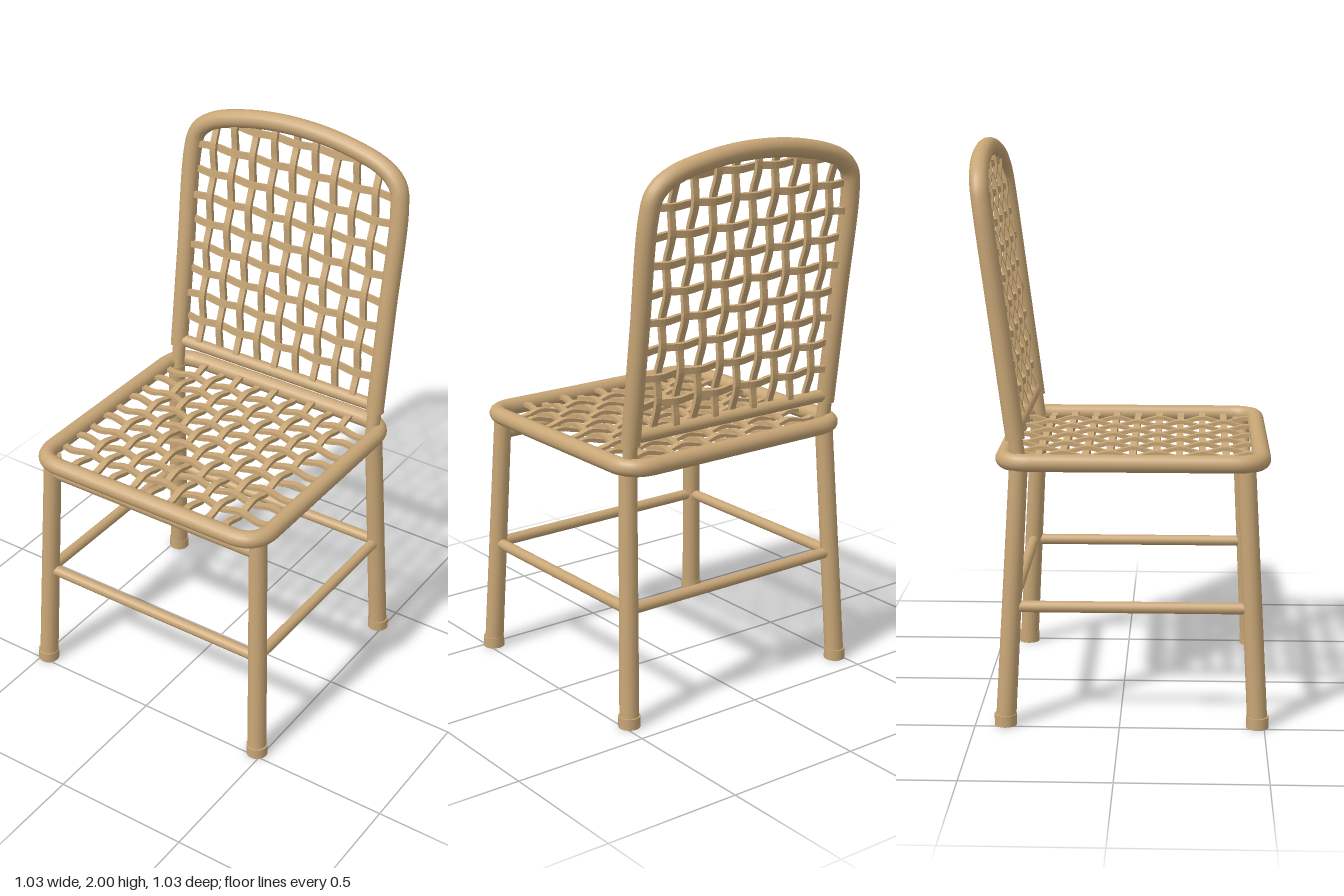
import * as THREE from 'three';
import { mergeGeometries } from 'three/addons/utils/BufferGeometryUtils.js';

const rattan = new THREE.MeshStandardMaterial({ color: 0xc8a676 });
rattan.name = 'rattan';

const V = (x, y, z) => new THREE.Vector3(x, y, z);

function add(parent, name, geometry) {
  const mesh = new THREE.Mesh(geometry, rattan);
  mesh.name = name;
  parent.add(mesh);
  return mesh;
}

// Round rod between two points
function rod(parent, name, a, b, rA, rB = rA) {
  const mesh = add(parent, name, new THREE.CylinderGeometry(rB, rA, a.distanceTo(b), 16));
  mesh.position.copy(a).add(b).multiplyScalar(0.5);
  mesh.quaternion.setFromUnitVectors(V(0, 1, 0), b.clone().sub(a).normalize());
  return mesh;
}

// Flat strand along +x, rippling in y around its crossings, with its width in z
function strand(from, to, first, spacing, sign) {
  const thick = 0.014, amp = 0.008, width = 0.024;
  const n = Math.ceil((to - from) / spacing * 6);
  const top = [], bottom = [];
  for (let i = 0; i <= n; i++) {
    const s = from + (to - from) * i / n;
    const h = sign * amp * Math.cos(Math.PI * (s - first) / spacing);
    top.push(new THREE.Vector2(s, h + thick / 2));
    bottom.push(new THREE.Vector2(s, h - thick / 2));
  }
  const shape = new THREE.Shape([...bottom, ...top.reverse()]);
  const geo = new THREE.ExtrudeGeometry(shape, { depth: width, bevelEnabled: false });
  return geo.translate(0, 0, -width / 2);
}

// Over-and-under lattice in the xy plane; the span functions give strand ends
function weave(parent, name, nx, x0, dx, ny, y0, dy, spanX, spanY) {
  const X = V(1, 0, 0), Y = V(0, 1, 0), Z = V(0, 0, 1);
  const across = [], along = [];
  for (let j = 0; j < ny; j++) {
    const y = y0 + j * dy, [a, b] = spanX(y);
    const m = new THREE.Matrix4().makeBasis(X, Z, Y.clone().negate()).setPosition(0, y, 0);
    across.push(strand(a, b, x0, dx, j % 2 ? -1 : 1).applyMatrix4(m));
  }
  for (let i = 0; i < nx; i++) {
    const x = x0 + i * dx, [a, b] = spanY(x);
    const m = new THREE.Matrix4().makeBasis(Y, Z, X).setPosition(x, 0, 0);
    along.push(strand(a, b, y0, dy, i % 2 ? 1 : -1).applyMatrix4(m));
  }
  add(parent, name + 'CrossStrands', mergeGeometries(across));
  add(parent, name + 'LongStrands', mergeGeometries(along));
}

// Rounded rectangle loop lying flat at the given height
function roundedLoop(x, zBack, zFront, y, r) {
  const path = new THREE.CurvePath();
  const corners = [[-x, zBack], [x, zBack], [x, zFront], [-x, zFront]].map(([a, b]) => V(a, y, b));
  corners.forEach((c, i) => {
    const prev = corners[(i + 3) % 4], next = corners[(i + 1) % 4];
    const step = (p, q) => p.clone().add(q.clone().sub(p).setLength(r));
    path.add(new THREE.QuadraticBezierCurve3(step(c, prev), c, step(c, next)));
    path.add(new THREE.LineCurve3(step(c, next), step(next, c)));
  });
  return path;
}

export function createModel() {
  const chair = new THREE.Group();
  chair.name = 'wovenChair';

  // Seat frame and woven seat
  const seat = new THREE.Group();
  seat.name = 'seat';
  chair.add(seat);
  add(seat, 'seatFrame', new THREE.TubeGeometry(
    roundedLoop(0.466, -0.4, 0.485, 0.926, 0.1), 160, 0.031, 14, true));
  const panel = new THREE.Group();
  panel.name = 'seatWeave';
  panel.rotation.x = -Math.PI / 2;
  panel.position.y = 0.926;
  seat.add(panel);
  weave(panel, 'seat', 9, -0.322, 0.0805, 9, -0.363, 0.0808,
    () => [-0.45, 0.45], () => [-0.465, 0.39]);

  // Splayed legs with feet
  const legPoint = (sx, front, y) => {
    const t = y / 0.92;
    return V(sx * (0.477 - 0.037 * t), y, front ? 0.477 - 0.047 * t : -0.395 + 0.05 * t);
  };
  for (const front of [true, false]) {
    for (const sx of [1, -1]) {
      const name = (front ? 'front' : 'back') + (sx > 0 ? 'Left' : 'Right');
      rod(chair, name + 'Leg', legPoint(sx, front, 0.01), legPoint(sx, front, 0.92), 0.035, 0.032);
      const foot = add(chair, name + 'Foot', new THREE.CylinderGeometry(0.039, 0.039, 0.04, 16));
      foot.position.copy(legPoint(sx, front, 0)).setY(0.02);
    }
  }

  // Stretchers between the legs and the rail under the front of the seat
  for (const front of [true, false])
    rod(chair, front ? 'frontStretcher' : 'backStretcher',
      legPoint(-1, front, 0.42), legPoint(1, front, 0.42), 0.02);
  for (const sx of [1, -1])
    rod(chair, sx > 0 ? 'leftStretcher' : 'rightStretcher',
      legPoint(sx, true, 0.42), legPoint(sx, false, 0.42), 0.02);
  rod(chair, 'frontRail', legPoint(-1, true, 0.855), legPoint(1, true, 0.855), 0.026);

  // Reclined back
  const back = new THREE.Group();
  back.name = 'back';
  back.position.set(0, 1.005, -0.356);
  back.rotation.x = -0.131;
  chair.add(back);

  const half = [[0.435, 0], [0.435, 0.4], [0.435, 0.78], [0.418, 0.858], [0.36, 0.908], [0.2, 0.953]];
  const points = [
    ...half.map(([x, y]) => V(-x, y, 0)), V(0, 0.97, 0),
    ...half.reverse().map(([x, y]) => V(x, y, 0)),
  ];
  add(back, 'backFrame', new THREE.TubeGeometry(new THREE.CatmullRomCurve3(points), 120, 0.033, 14));
  for (const sx of [1, -1]) {
    rod(back, 'postEnd', V(sx * 0.435, -0.003, 0), V(sx * 0.435, 0.01, 0), 0.033);
    rod(back, 'postStub', V(sx * 0.435, -0.1, 0), V(sx * 0.435, 0.02, 0), 0.025);
  }
  rod(back, 'backLowerRail', V(-0.435, 0.02, 0), V(0.435, 0.02, 0), 0.023);

  // Woven back panel, trimmed to the arch
  weave(back, 'back', 9, -0.34, 0.085, 9, 0.127, 0.098,
    y => (y > 0.88 ? [-0.34, 0.34] : [-0.43, 0.43]),
    x => [0.02, 0.965 - 0.45 * x * x]);

  return chair;
}
